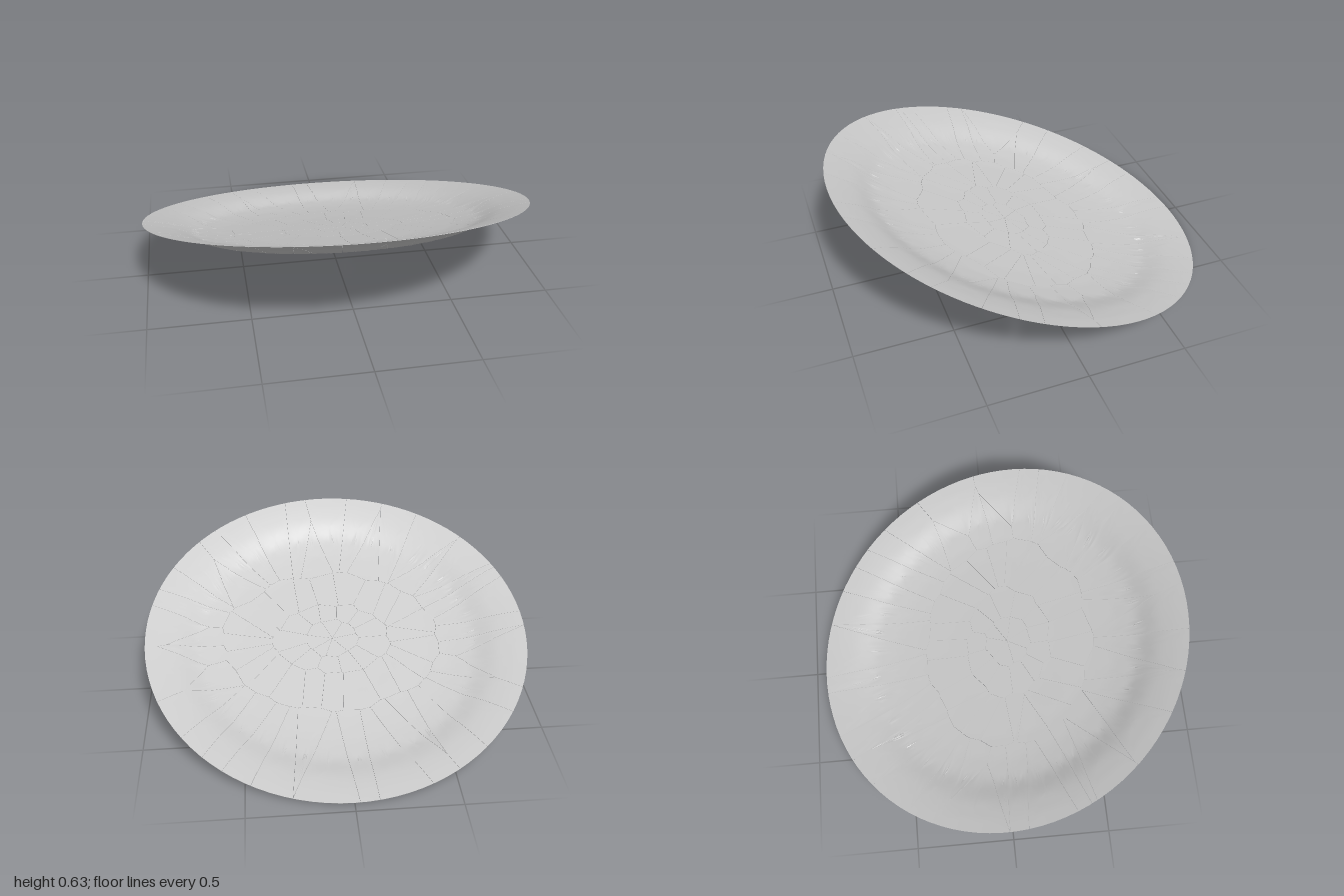
import * as THREE from 'three';
import { toCreasedNormals } from 'three/addons/utils/BufferGeometryUtils.js';

// Underside of the plate: [radius, depth below the rim plane]
const PROFILE = [[0, 0.12], [0.3, 0.119], [0.5, 0.114], [0.62, 0.106], [0.735, 0.09], [0.85, 0.043], [0.93, 0.018], [1, 0]];
const THICKNESS = 0.016;
const GAP = 0.0012;
const LEVELS = 7;

function depthAt(r) {
  let i = 1;
  while (i < PROFILE.length - 1 && r > PROFILE[i][0]) i++;
  const [r0, d0] = PROFILE[i - 1], [r1, d1] = PROFILE[i];
  return THREE.MathUtils.lerp(d0, d1, Math.min(1, (r - r0) / (r1 - r0)));
}

function seededRandom(seed) {
  return () => {
    seed = (seed * 16807) % 2147483647;
    return seed / 2147483647;
  };
}

// Shard centres: rings around the point of impact, long slivers on the outside
function shardSeeds() {
  const rand = seededRandom(77);
  const seeds = [];
  const rings = [[7, 0.07, 0.07], [13, 0.21, 0.18], [24, 0.43, 0.28], [42, 0.74, 0.63]];
  rings.forEach(([count, rx, rz], ring) => {
    for (let i = 0; i < count; i++) {
      const a = ((i + (rand() - 0.5) * 0.6) / count) * Math.PI * 2;
      const k = 1 + (ring ? (rand() - 0.5) * 0.1 : 0);
      seeds.push(new THREE.Vector2(0.02 + Math.cos(a) * rx * k, 0.03 + Math.sin(a) * rz * k));
    }
  });
  return seeds;
}

// Keep the side of the polygon that lies nearer to seed a than to seed b
function clip(poly, a, b) {
  const dir = b.clone().sub(a).normalize();
  const limit = a.clone().add(b).multiplyScalar(0.5).dot(dir) - GAP / 2;
  const out = [];
  poly.forEach((p, i) => {
    const q = poly[(i + 1) % poly.length];
    const dp = p.dot(dir) - limit, dq = q.dot(dir) - limit;
    if (dp <= 0) out.push(p);
    if (dp * dq < 0) out.push(p.clone().lerp(q, dp / (dp - dq)));
  });
  return out;
}

// Split long edges so that the shard can follow the curve of the plate
function subdivide(poly) {
  const out = [];
  poly.forEach((p, i) => {
    const q = poly[(i + 1) % poly.length];
    const n = Math.max(1, Math.ceil(p.distanceTo(q) / 0.06));
    for (let k = 0; k < n; k++) out.push(p.clone().lerp(q, k / n));
  });
  return out;
}

// One closed shard: upper skin, lower skin and broken edge
function shardGeometry(outline) {
  const n = outline.length;
  const centre = outline.reduce((s, p) => s.add(p), new THREE.Vector2()).divideScalar(n);
  const positions = [], index = [];
  const layer = 1 + n * LEVELS;
  for (const top of [0, 1]) {
    const put = (p) => {
      const r = p.length();
      const t = THICKNESS * Math.min(1, 0.1 + (1 - r) * 5);
      positions.push(p.x, -depthAt(r) + top * t, p.y);
    };
    put(centre);
    for (let l = 1; l <= LEVELS; l++) {
      for (const p of outline) put(centre.clone().lerp(p, l / LEVELS));
    }
  }
  const at = (top, l, i) => top * layer + (l ? 1 + (l - 1) * n + (i % n) : 0);
  for (const top of [0, 1]) {
    const tri = (a, b, c) => (top ? index.push(a, c, b) : index.push(a, b, c));
    for (let i = 0; i < n; i++) {
      tri(at(top, 0, 0), at(top, 1, i), at(top, 1, i + 1));
      for (let l = 1; l < LEVELS; l++) {
        tri(at(top, l, i), at(top, l + 1, i), at(top, l + 1, i + 1));
        tri(at(top, l, i), at(top, l + 1, i + 1), at(top, l, i + 1));
      }
    }
  }
  for (let i = 0; i < n; i++) {
    const a = at(0, LEVELS, i), b = at(0, LEVELS, i + 1);
    const c = at(1, LEVELS, i), d = at(1, LEVELS, i + 1);
    index.push(a, c, b, b, c, d);
  }
  const geometry = new THREE.BufferGeometry();
  geometry.setAttribute('position', new THREE.Float32BufferAttribute(positions, 3));
  geometry.setIndex(index);
  return toCreasedNormals(geometry, 0.6);
}

export function createModel() {
  const model = new THREE.Group();
  model.name = 'shatteredPlate';
  const material = new THREE.MeshStandardMaterial({ color: 0xcccccc });

  // Plate leaning with its front edge raised
  const plate = new THREE.Group();
  plate.name = 'plate';
  plate.rotation.x = -0.318;
  plate.position.y = 0.317;
  model.add(plate);

  const disc = Array.from({ length: 96 }, (_, i) => {
    const a = (i / 96) * Math.PI * 2;
    return new THREE.Vector2(Math.cos(a), Math.sin(a));
  });

  // Shards
  const seeds = shardSeeds();
  for (const seed of seeds) {
    let outline = disc;
    for (const other of seeds) if (other !== seed) outline = clip(outline, seed, other);
    if (outline.length < 3) continue;
    const shard = new THREE.Mesh(shardGeometry(subdivide(outline)), material);
    shard.name = 'shard';
    plate.add(shard);
  }
  return model;
}
